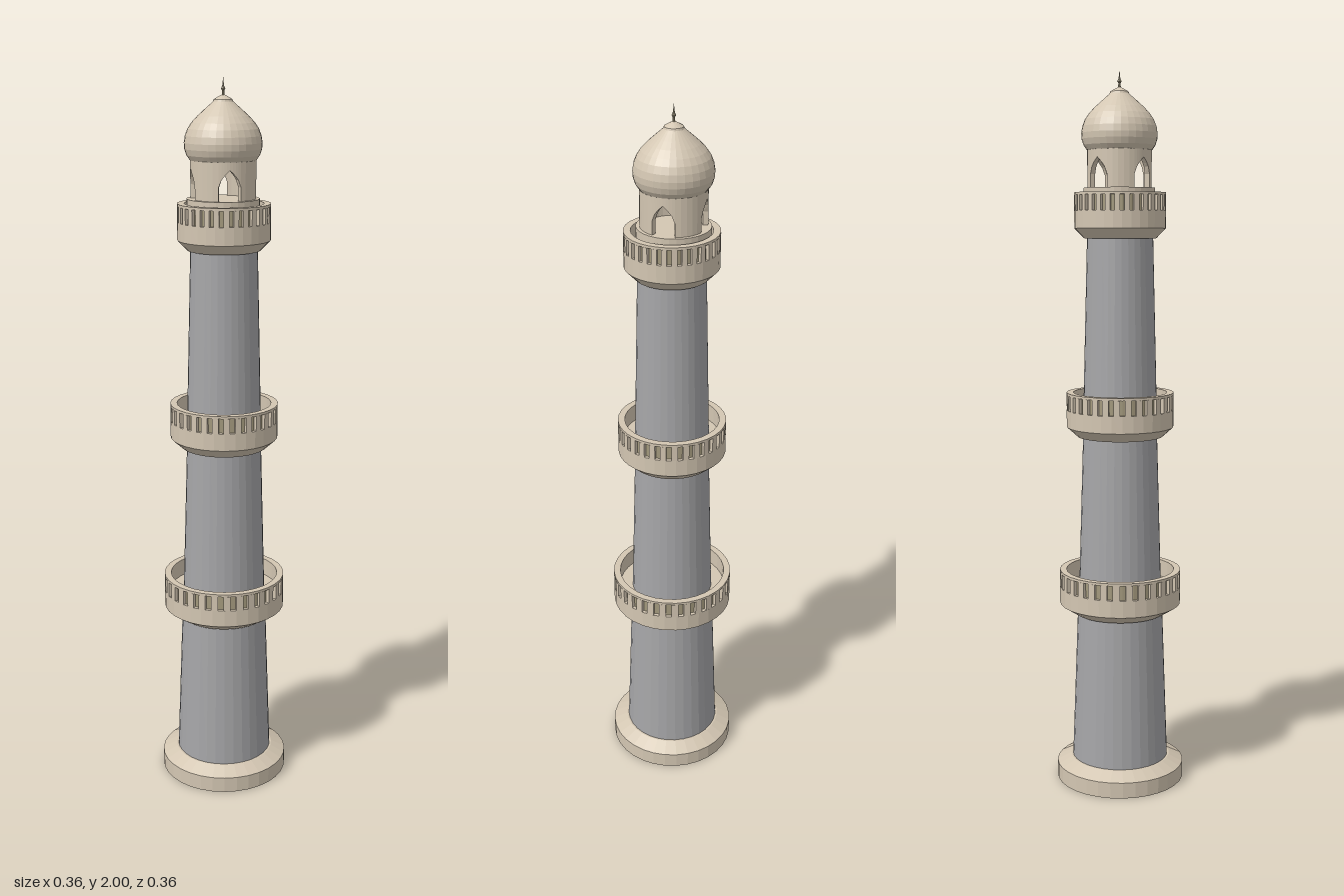
import * as THREE from 'three';
import { mergeGeometries } from 'three/addons/utils/BufferGeometryUtils.js';

const SIDES = 32;

export function createModel() {
  const tower = new THREE.Group();
  tower.name = 'tower';

  const material = (name, color) => {
    const m = new THREE.MeshStandardMaterial({ color });
    m.name = name;
    return m;
  };
  const beige = material('beigeStone', 0xd3c6b2);
  const grey = material('greyStone', 0xa6a6a8);
  const olive = material('recessStone', 0xa49a7e);

  const add = (name, geometry, mat, parent = tower) => {
    const mesh = new THREE.Mesh(geometry, mat);
    mesh.name = name;
    parent.add(mesh);
    return mesh;
  };

  // Faceted solid of revolution; profile runs up the outside, [radius, height]
  const turned = (profile, sides = SIDES) => {
    const points = profile.map(([r, y]) => new THREE.Vector2(r, y));
    const g = new THREE.LatheGeometry(points, sides).toNonIndexed();
    g.computeVertexNormals();
    return g;
  };

  // Curved block between two angles and two radii, with a sloping top or bottom
  const arcBlock = (a0, a1, r0, r1, bottom0, bottom1, top0, top1 = top0) => {
    const shape = new THREE.Shape([
      new THREE.Vector2(a0, bottom0), new THREE.Vector2(a1, bottom1),
      new THREE.Vector2(a1, top1), new THREE.Vector2(a0, top0),
    ]);
    const g = new THREE.ExtrudeGeometry(shape, { depth: r1 - r0, bevelEnabled: false });
    const p = g.attributes.position;
    for (let i = 0; i < p.count; i++) {
      const a = p.getX(i), r = r0 + p.getZ(i);
      p.setXYZ(i, r * Math.sin(a), p.getY(i), r * Math.cos(a));
    }
    g.computeVertexNormals();
    return g;
  };

  // Plinth with a sloped shoulder
  add('plinth', turned([[0.182, 0], [0.182, 0.045], [0.142, 0.065], [0.12, 0.065]]), beige);
  const underside = add('plinthUnderside', new THREE.CircleGeometry(0.182, SIDES), grey);
  underside.rotation.x = Math.PI / 2;

  // Three tapering shafts
  add('lowerShaft', turned([[0.137, 0.06], [0.121, 0.5]]), grey);
  add('middleShaft', turned([[0.118, 0.53], [0.104, 1.01]]), grey);
  add('upperShaft', turned([[0.104, 1.04], [0.091, 1.56]]), grey);

  // Balconies: flared corbel, drum, slotted parapet and thin rail
  const addBalcony = (name, y, radius, neck) => {
    const balcony = new THREE.Group();
    balcony.name = name;
    tower.add(balcony);
    const back = radius - 0.01, inner = radius - 0.019;
    const slot = y + 0.075, rail = y + 0.117, top = y + 0.124;
    add('corbelAndDrum', turned([
      [neck - 0.03, y], [neck, y], [radius, y + 0.027], [radius, slot], [back, slot],
    ]), beige, balcony);
    add('parapetRecess', turned([[back, slot], [back, rail]]), olive, balcony);
    add('railAndFloor', turned([
      [back, rail], [radius, rail], [radius, top], [inner, top],
      [inner, slot], [neck - 0.04, slot],
    ]), beige, balcony);
    const posts = [];
    const count = 30, half = Math.PI / count * 0.55;
    for (let i = 0; i < count; i++) {
      const a = i / count * Math.PI * 2;
      posts.push(arcBlock(a - half, a + half, back - 0.002, radius, slot, slot, rail));
    }
    add('parapetPosts', mergeGeometries(posts), beige, balcony);
  };
  addBalcony('lowerBalcony', 0.492, 0.172, 0.13);
  addBalcony('middleBalcony', 1.0, 0.15, 0.12);
  addBalcony('upperBalcony', 1.55, 0.126, 0.1);

  // Lantern and dome sit very slightly off the tower axis
  const crown = new THREE.Group();
  crown.name = 'crown';
  crown.position.set(-0.004, 0, -0.002);
  tower.add(crown);

  add('lanternBase', turned([[0.098, 1.62], [0.098, 1.686], [0, 1.686]]), beige, crown);

  // Lantern wall with four pointed openings on the diagonals
  const wall = [];
  const halfOpening = 0.35, steps = 8, sill = 1.686, roof = 1.8;
  const archTop = (t) => 1.722 + 0.044 * Math.pow(1 - Math.abs(t), 0.6);
  for (let k = 0; k < 4; k++) {
    const mid = Math.PI / 4 + k * Math.PI / 2;
    for (let i = 0; i < steps; i++) {
      const t0 = -1 + 2 * i / steps, t1 = -1 + 2 * (i + 1) / steps;
      wall.push(arcBlock(mid + t0 * halfOpening, mid + t1 * halfOpening,
        0.074, 0.088, archTop(t0), archTop(t1), roof));
    }
    const start = mid + halfOpening, width = (Math.PI / 2 - 2 * halfOpening) / 5;
    for (let i = 0; i < 5; i++) {
      wall.push(arcBlock(start + i * width, start + (i + 1) * width,
        0.074, 0.088, sill, sill, roof));
    }
  }
  add('lanternWall', mergeGeometries(wall), beige, crown);

  // Onion dome, its small cap and the finial
  add('dome', turned([
    [0, 1.787], [0.089, 1.787], [0.098, 1.8], [0.103, 1.816], [0.104, 1.832],
    [0.101, 1.85], [0.094, 1.868], [0.083, 1.884], [0.067, 1.901],
    [0.049, 1.917], [0.034, 1.93], [0.025, 1.938], [0, 1.94],
  ]), beige, crown);
  add('domeCap', turned([
    [0.02, 1.932], [0.027, 1.936], [0.025, 1.942], [0.013, 1.949], [0.005, 1.953], [0, 1.954],
  ], 16), beige, crown);
  add('finial', turned([
    [0.004, 1.95], [0.003, 1.964], [0.006, 1.969], [0.003, 1.975], [0.002, 1.98], [0, 2],
  ], 8), olive, crown);

  return tower;
}
